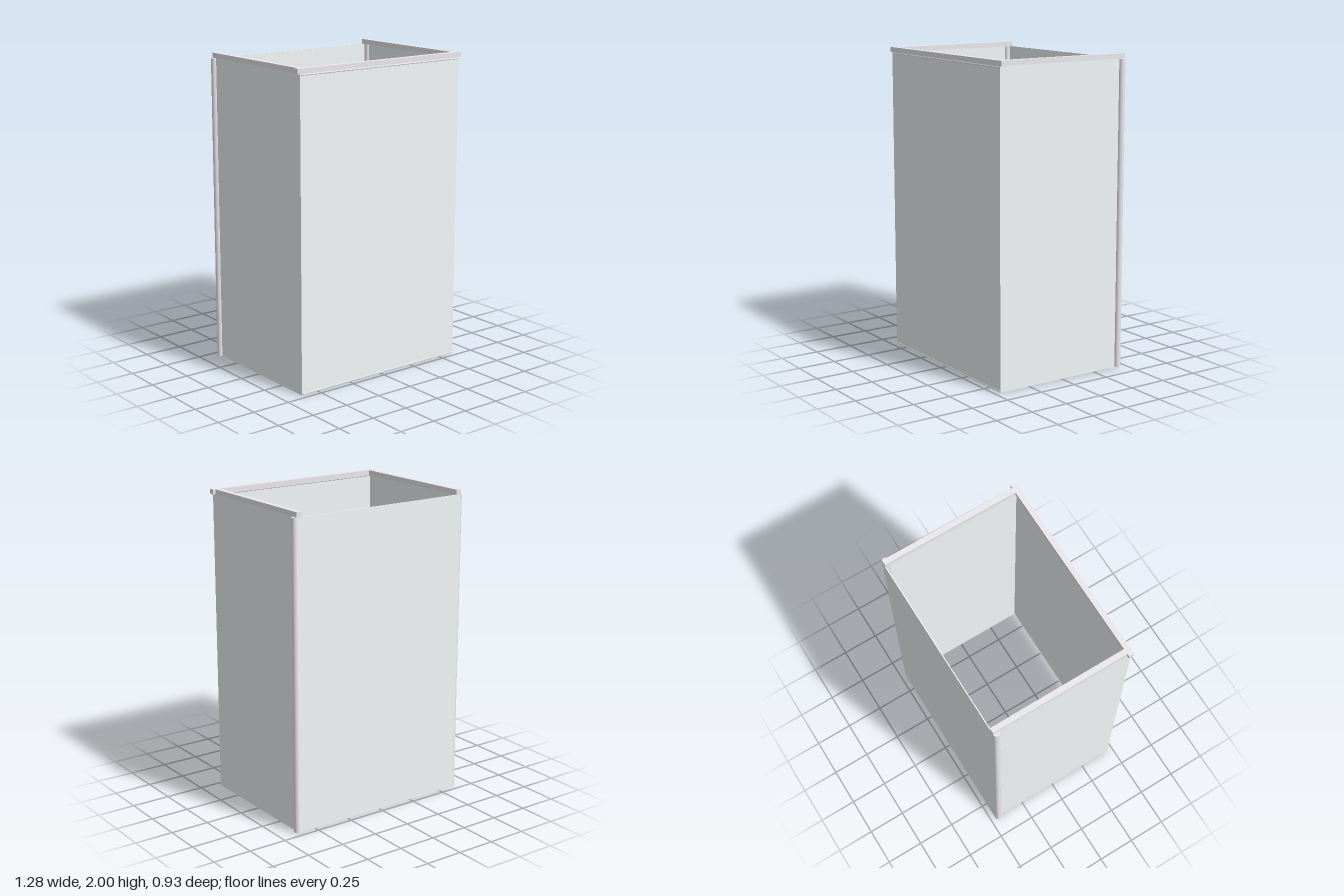
import * as THREE from 'three';

const H = 2, W = 0.619, D = 0.465; // height, half width, half depth
const T = 0.006, RAIL = 0.035, LIP = 1.968; // wall, rail width, wall top
const R = 0.021; // corner post radius
const INSET = 0.003; // front panel sits just behind the rail's face

export function createModel() {
  const group = new THREE.Group();
  const panel = new THREE.MeshStandardMaterial({ color: 0xf3f8f8 });
  const trim = new THREE.MeshStandardMaterial({ color: 0xebe9ee });

  const add = (name, geo, mat, x, y, z) => {
    const mesh = new THREE.Mesh(geo, mat);
    mesh.name = name;
    mesh.position.set(x, y, z);
    group.add(mesh);
    return mesh;
  };
  // box given by its min and max corners
  const box = (name, mat, x0, x1, y0, y1, z0, z1) =>
    add(name, new THREE.BoxGeometry(x1 - x0, y1 - y0, z1 - z0), mat,
      (x0 + x1) / 2, (y0 + y1) / 2, (z0 + z1) / 2);

  // front and back walls, open above and below
  box('frontWall', panel, -W, W, 0, LIP, D - INSET - T, D - INSET);
  box('backWall', panel, -W, W, 0, LIP, -D, -D + T);

  // front top rail, overhanging both sides
  box('frontRail', trim, -0.637, 0.637, LIP, H, D - RAIL, D);

  // slim hem rods along the front panel's top and bottom
  for (const y of [LIP - 0.007, 0.006]) {
    const rod = add('hemRod', new THREE.CylinderGeometry(0.006, 0.006, 1.22, 12), trim,
      0, y, D - 0.0065);
    rod.rotation.z = Math.PI / 2;
  }

  for (const s of [-1, 1]) {
    const side = s > 0 ? 'left' : 'right';
    const span = (a, b) => [Math.min(s * a, s * b), Math.max(s * a, s * b)];

    box(side + 'Wall', panel, ...span(W - T, W), 0, LIP, -D + T, D - INSET - T);
    box(side + 'Rail', trim, ...span(W - RAIL, W), LIP, H, -D, D - RAIL);

    // round post at the back corner, ending under the rail
    add(side + 'CornerPost', new THREE.CylinderGeometry(R, R, LIP, 24), trim,
      s * W, LIP / 2, -D + R);
  }
  return group;
}
